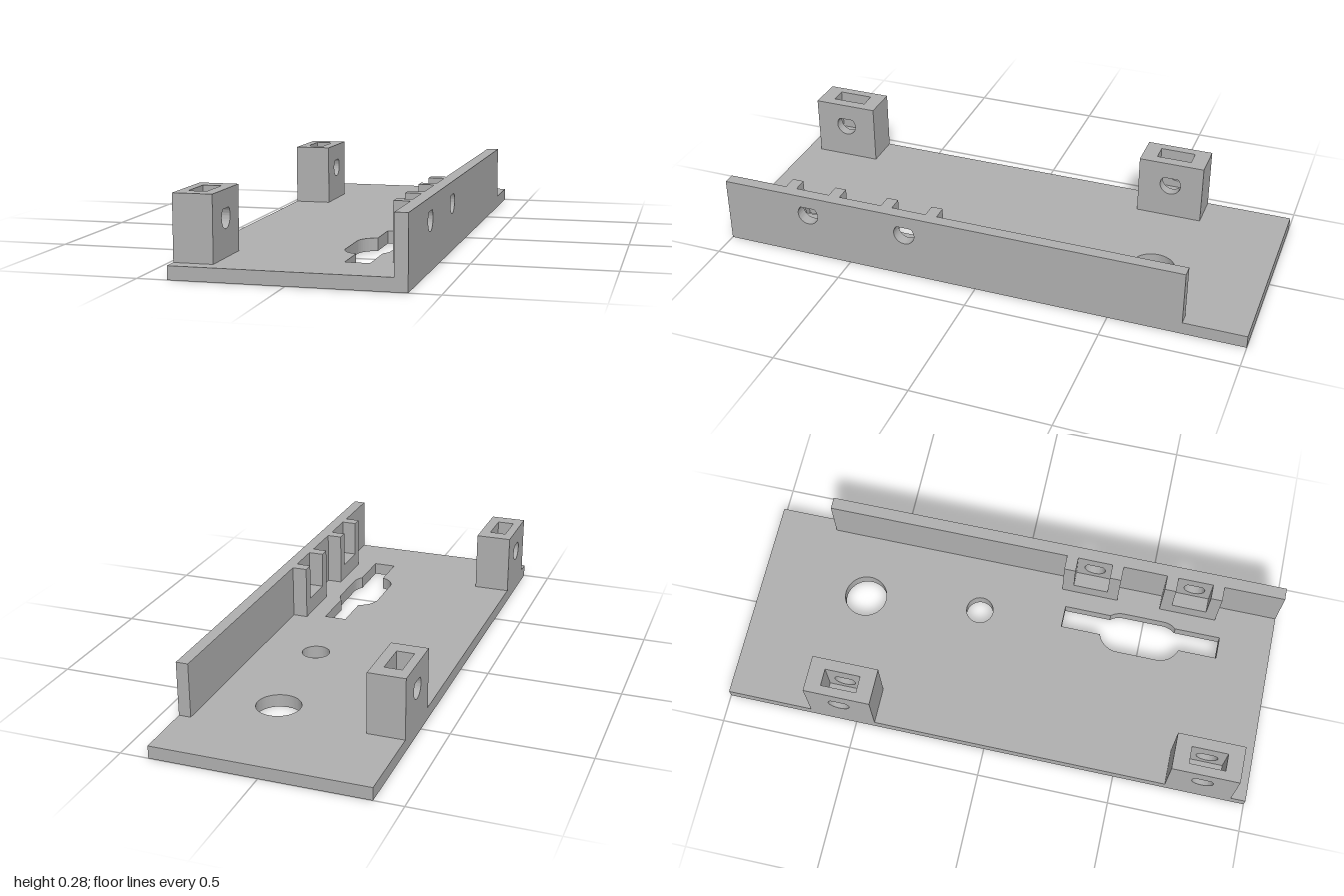
import * as THREE from 'three';
import { toCreasedNormals } from 'three/addons/utils/BufferGeometryUtils.js';

const BASE = 0.047; // base plate thickness
const HALF = 0.395; // half width

function rect(x0, y0, x1, y1) {
  return new THREE.Shape([[x0, y0], [x1, y0], [x1, y1], [x0, y1]].map(p => new THREE.Vector2(...p)));
}

function circle(x, y, r) {
  return new THREE.Path().absarc(x, y, r, 0, Math.PI * 2);
}

// round screw hole with a pointed 45 degree roof
function teardrop(u, y, r = 0.04) {
  const p = new THREE.Path();
  p.moveTo(u, y + r * Math.SQRT2);
  p.absarc(u, y, r, Math.PI * 0.75, Math.PI * 2.25);
  p.closePath();
  return p;
}

// U-shaped outline that leaves a nut slot open at the top
function nutSlotOutline(u, halfWidth, top, floor) {
  const s = 0.0665;
  return new THREE.Shape([
    [-halfWidth, BASE], [halfWidth, BASE], [halfWidth, top], [s, top],
    [s, floor], [-s, floor], [-s, top], [-halfWidth, top],
  ].map(([a, b]) => new THREE.Vector2(u + a, b)));
}

function extrude(shape, depth) {
  return new THREE.ExtrudeGeometry(shape, { depth, bevelEnabled: false, curveSegments: 32 });
}

// extrude an outline drawn in (-z, y) from x0 to x1
function slabX(shape, x0, x1) {
  return extrude(shape, x1 - x0).rotateY(Math.PI / 2).translate(x0, 0, 0);
}

// elongated opening with a wider rounded middle, drawn in (x, z)
function keySlot() {
  const cx = 0.163, r = 0.08, left = 0.14, right = 0.225, zA = 0.42, zB = 0.575;
  const a = Math.acos((right - cx) / r), b = Math.acos((left - cx) / r);
  const p = new THREE.Path();
  p.moveTo(left, 0.19);
  p.lineTo(right, 0.19);
  p.absarc(cx, zA, r, -a, 0);
  p.absarc(cx, zB, r, 0, a);
  p.lineTo(right, 0.8);
  p.lineTo(left, 0.8);
  p.absarc(cx, zB, r, b, Math.PI);
  p.absarc(cx, zA, r, Math.PI, Math.PI * 2 - b);
  p.closePath();
  return p;
}

export function createModel() {
  const model = new THREE.Group();
  model.name = 'mountingBracket';
  const grey = new THREE.MeshStandardMaterial({ color: 0xb0b0b0 });
  grey.name = 'plainGrey';

  const add = (parent, name, geometry) => {
    const mesh = new THREE.Mesh(toCreasedNormals(geometry, 0.5), grey);
    mesh.name = name;
    parent.add(mesh);
  };

  // base plate with two round holes and the key slot
  const base = rect(-HALF, -1, HALF, 1);
  base.holes.push(circle(0.1, -0.585, 0.081), circle(0.138, -0.135, 0.052), keySlot());
  add(model, 'basePlate', extrude(base, BASE).rotateX(Math.PI / 2).translate(0, BASE, 0));

  // side wall with screw holes
  const wallHoles = [0.275, 0.663];
  const wall = rect(-1, BASE, 0.77, 0.25);
  wall.holes.push(...wallHoles.map(z => teardrop(-z, 0.175)));
  add(model, 'sideWall', slabX(wall, 0.35, HALF));

  // nut holders on the inside of the wall
  for (const z of wallHoles) {
    add(model, 'wallNutHolder', slabX(nutSlotOutline(-z + 0.003, 0.11, 0.25, 0.11), 0.294, 0.35));
  }

  // posts: a nut pocket between two drilled cheeks
  for (const z of [-0.55, 0.82]) {
    const post = new THREE.Group();
    post.name = 'nutPost';
    const cheek = rect(-z - 0.125, BASE, -z + 0.125, 0.275);
    cheek.holes.push(teardrop(-z, 0.183));
    add(post, 'outerCheek', slabX(cheek, -HALF, -0.362));
    add(post, 'nutPocket', slabX(nutSlotOutline(-z, 0.125, 0.275, 0.115), -0.362, -0.298));
    add(post, 'innerCheek', slabX(cheek, -0.298, -0.258));
    model.add(post);
  }
  return model;
}
